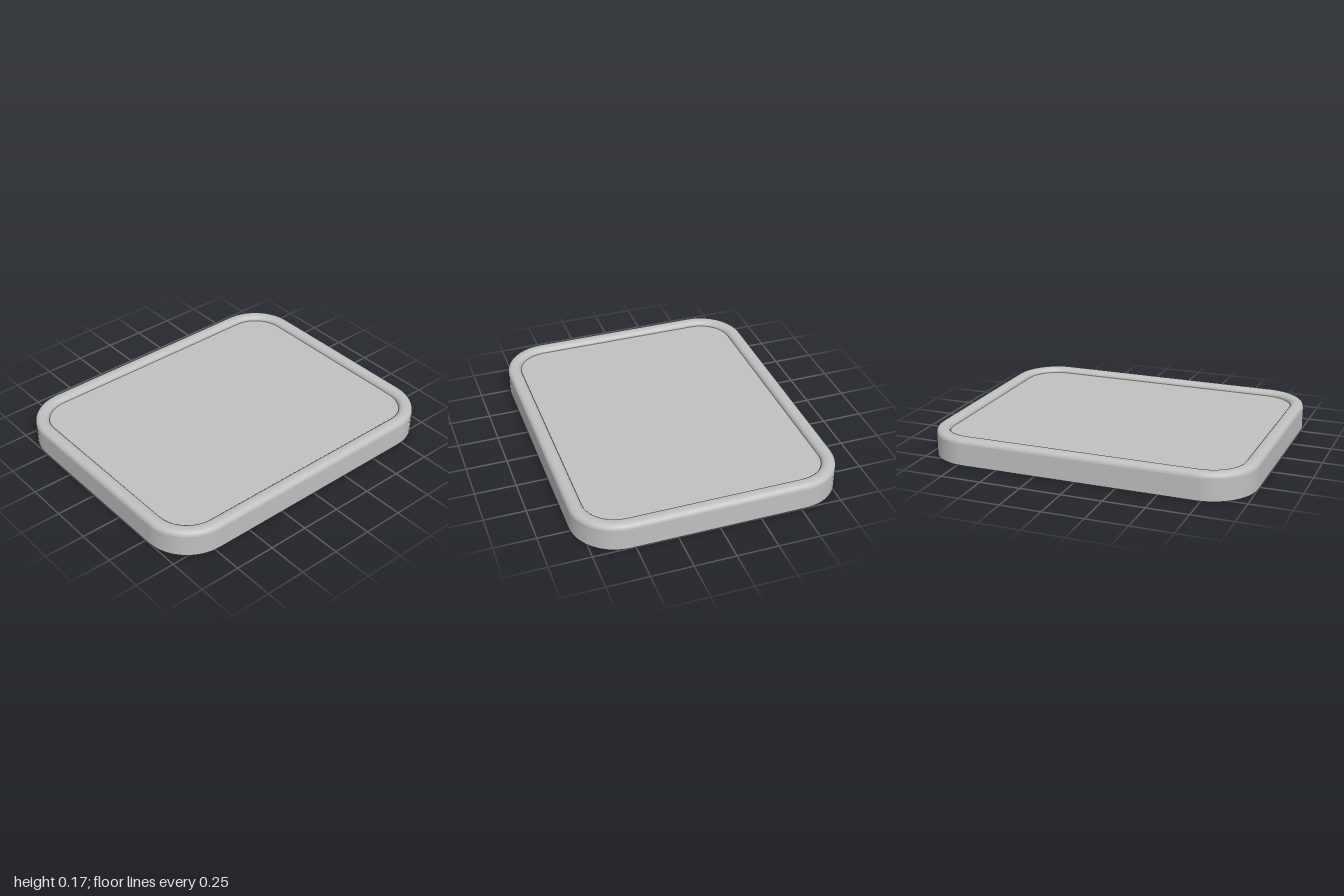
import * as THREE from 'three';

const HALF_X = 0.81, HALF_Z = 1, RADIUS = 0.28, CORNER_STEPS = 10;
const RIM_WIDTH = 0.085, SHOULDER = 0.135, RIM_RISE = 0.03;

// Rounded rectangle, shrunk inward by `inset`, as a list of [x, z] points
function outline(inset) {
  const points = [], r = RADIUS - inset;
  const corners = [[1, 1], [-1, 1], [-1, -1], [1, -1]];
  corners.forEach(([sx, sz], c) => {
    for (let k = 0; k <= CORNER_STEPS; k++) {
      const a = (c + k / CORNER_STEPS) * Math.PI / 2;
      points.push([
        sx * (HALF_X - RADIUS) + r * Math.cos(a),
        sz * (HALF_Z - RADIUS) + r * Math.sin(a),
      ]);
    }
  });
  return points;
}

// Skin a stack of outlines, each given as [inset, height]
function skin(profile) {
  const positions = [], indices = [];
  const count = outline(0).length;
  for (const [inset, y] of profile) {
    for (const [x, z] of outline(inset)) positions.push(x, y, z);
  }
  for (let row = 0; row < profile.length - 1; row++) {
    for (let i = 0; i < count; i++) {
      const j = (i + 1) % count;
      const a = row * count + i, b = row * count + j;
      indices.push(a, a + count, b, b, a + count, b + count);
    }
  }
  const geometry = new THREE.BufferGeometry();
  geometry.setAttribute('position', new THREE.Float32BufferAttribute(positions, 3));
  geometry.setIndex(indices);
  geometry.computeVertexNormals();
  return geometry;
}

// Flat panel bounded by an outline, facing up or down
function panel(inset, y, faceUp) {
  const shape = new THREE.Shape(outline(inset).map(([x, z]) => new THREE.Vector2(x, z)));
  const geometry = new THREE.ShapeGeometry(shape);
  geometry.rotateX(faceUp ? -Math.PI / 2 : Math.PI / 2);
  geometry.translate(0, y, 0);
  return geometry;
}

export function createModel() {
  const model = new THREE.Group();
  model.name = 'tray';
  const grey = new THREE.MeshStandardMaterial({ color: 0xc0c0c0 });
  grey.name = 'light grey';

  const add = (name, geometry) => {
    const mesh = new THREE.Mesh(geometry, grey);
    mesh.name = name;
    model.add(mesh);
  };

  // Rounded lip: rises from the outer wall and rolls over to the recess
  const rim = [];
  const bend = 0.035;
  for (let k = 0; k <= 5; k++) {
    const a = (k / 5) * Math.PI / 2;
    rim.push([bend * (1 - Math.cos(a)), SHOULDER + RIM_RISE * Math.sin(a)]);
  }
  const inner = rim.map(([inset, y]) => [RIM_WIDTH - inset, y]).reverse();

  add('outerWall', skin([[0, 0], [0, SHOULDER]]));
  add('rim', skin([...rim, ...inner]));
  add('floor', panel(RIM_WIDTH, SHOULDER, true));
  add('underside', panel(0, 0, false));
  return model;
}
